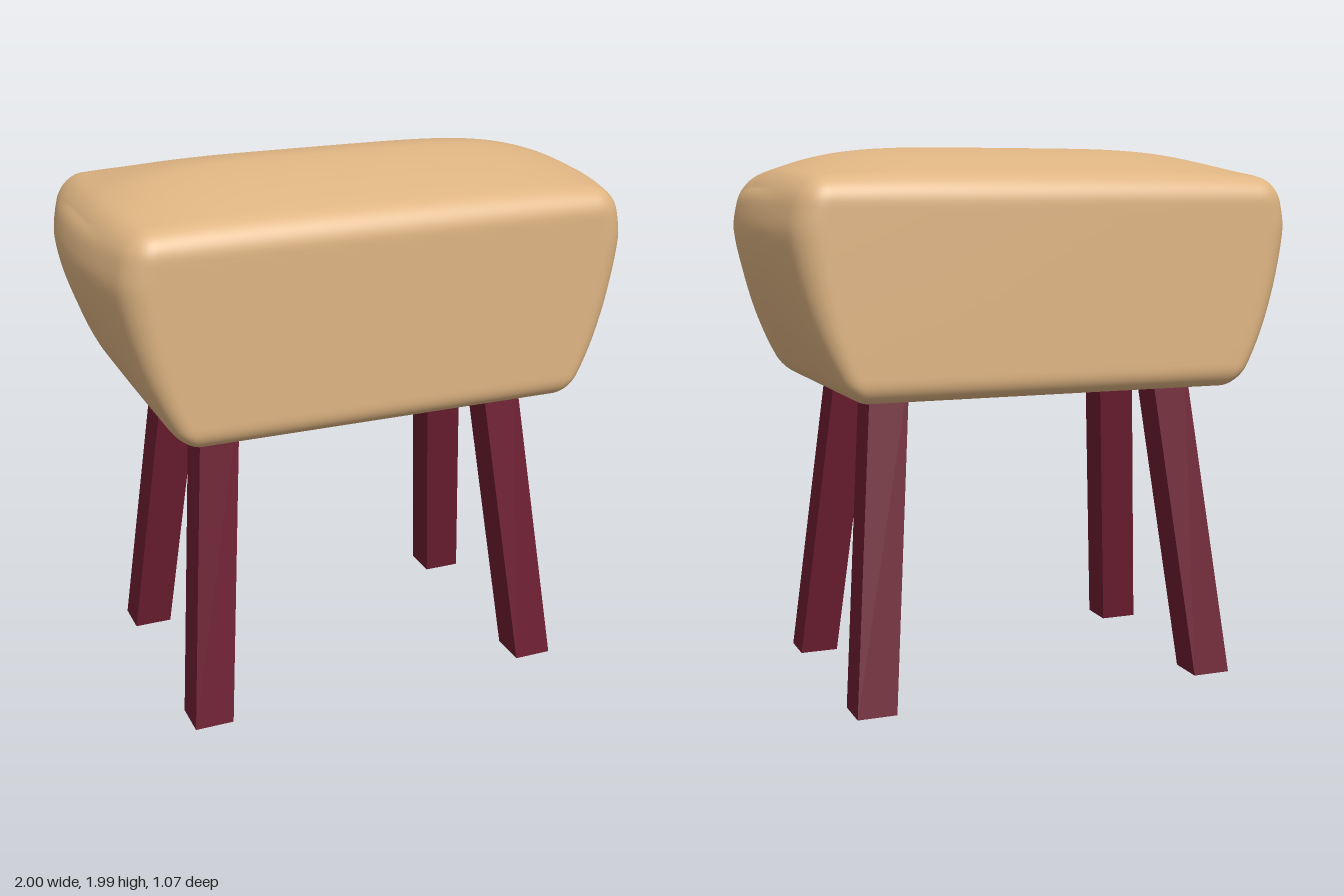
import * as THREE from 'three';
import { mergeVertices } from 'three/addons/utils/BufferGeometryUtils.js';

const BOTTOM = 1.11, SHOULDER = 1.87, HALF_DEPTH = 0.535, RADIUS = 0.08;

// Padded body: a rounded box, domed on top, with bulging ends that taper downwards
function bodyGeometry() {
  const geo = new THREE.BoxGeometry(2, 2, 2, 56, 40, 40);
  geo.deleteAttribute('uv');
  geo.deleteAttribute('normal');
  const half = new THREE.Vector3(1, (SHOULDER - BOTTOM) / 2, HALF_DEPTH);
  const inner = half.clone().subScalar(RADIUS);
  const pos = geo.attributes.position;
  const p = new THREE.Vector3(), core = new THREE.Vector3();
  const dense = (t) => Math.sin((t * Math.PI) / 2); // finer grid near the edges

  for (let i = 0; i < pos.count; i++) {
    p.fromBufferAttribute(pos, i);
    p.set(dense(p.x), dense(p.y), dense(p.z)).multiply(half);
    core.copy(p).clamp(inner.clone().negate(), inner);
    p.sub(core).setLength(RADIUS).add(core);

    const t = (p.y + half.y) / (2 * half.y);
    const y = BOTTOM + t * (SHOULDER - BOTTOM);
    const across = Math.abs(p.z) / HALF_DEPTH;

    // end profile: widest at y = 1.7, narrower below and towards the corners
    const length = 1 - 0.575 * Math.abs(1.7 - y) ** 1.5;
    const bulge = 0.085 * THREE.MathUtils.smoothstep(t, 0, 0.8) * across ** 2;
    const x = p.x * (length - bulge);

    // domed top, fading towards the ends
    const fade = Math.max(0, 1 - Math.abs(x / 0.95) ** 4.5);
    const dome = 0.12 * (1 - across ** 1.5) * fade * THREE.MathUtils.smoothstep(t, 0.3, 1);
    pos.setXYZ(i, x, y + dome, p.z);
  }
  const merged = mergeVertices(geo, 1e-5);
  merged.computeVertexNormals();
  return merged;
}

// Square leg sheared outwards towards the floor, with a level foot
function legGeometry(sx, sz) {
  const height = 1.2;
  const geo = new THREE.BoxGeometry(0.145, height, 0.143);
  geo.translate(0, height / 2, 0);
  const pos = geo.attributes.position;
  for (let i = 0; i < pos.count; i++) {
    const y = pos.getY(i);
    pos.setX(i, pos.getX(i) + sx * (0.665 - 0.096 * y));
    pos.setZ(i, pos.getZ(i) + sz * (0.41 - 0.153 * y));
  }
  geo.computeVertexNormals();
  return geo;
}

export function createModel() {
  const model = new THREE.Group();
  model.name = 'vaultingBuck';
  const leather = new THREE.MeshStandardMaterial({ color: 0xdeb482 });
  const wood = new THREE.MeshStandardMaterial({ color: 0x6b1c30 });

  const body = new THREE.Mesh(bodyGeometry(), leather);
  body.name = 'paddedBody';
  model.add(body);

  for (const sx of [1, -1]) {
    for (const sz of [1, -1]) {
      const leg = new THREE.Mesh(legGeometry(sx, sz), wood);
      leg.name = `${sz > 0 ? 'front' : 'back'}${sx > 0 ? 'Left' : 'Right'}Leg`;
      model.add(leg);
    }
  }
  return model;
}
